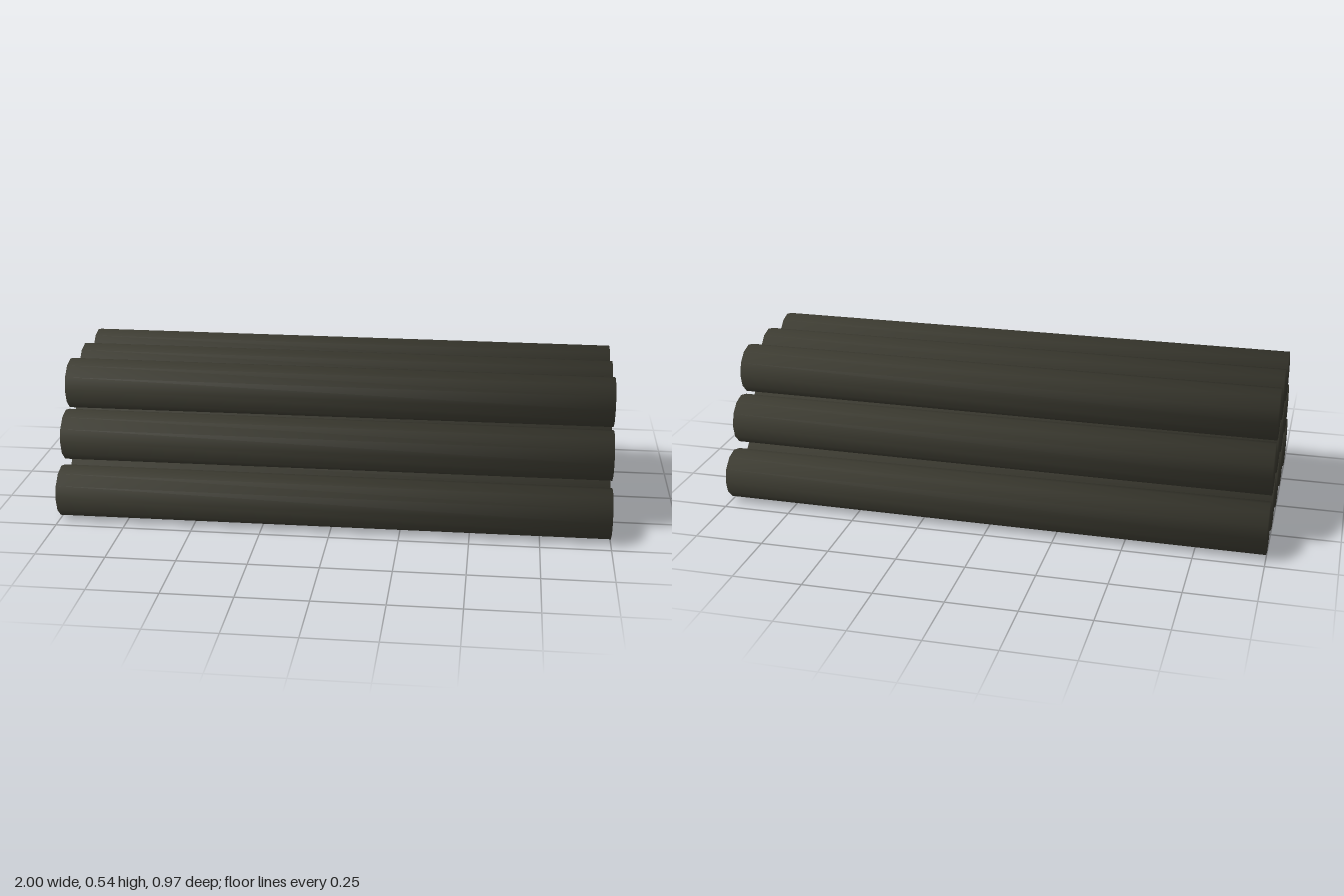
import * as THREE from 'three';

const RIGHT_RADIUS = 0.0915; // narrow end, +x
const LEFT_RADIUS = 0.094; // thick end, -x
const SPACING = 0.195;

// Tapered twelve-sided log along x, shaded smoothly from side to end
function logGeometry() {
  const geo = new THREE.CylinderGeometry(RIGHT_RADIUS, LEFT_RADIUS, 2, 12);
  const pos = geo.attributes.position;
  const normal = geo.attributes.normal;
  const n = new THREE.Vector3();
  for (let i = 0; i < pos.count; i++) {
    const radius = Math.hypot(pos.getX(i), pos.getZ(i));
    const axial = Math.sign(pos.getY(i));
    if (radius < 0.01) n.set(0, axial, 0);
    else n.set(pos.getX(i) / radius, axial * 0.8, pos.getZ(i) / radius).normalize();
    normal.setXYZ(i, n.x, n.y, n.z);
  }
  return geo.rotateZ(-Math.PI / 2);
}

export function createModel() {
  const model = new THREE.Group();
  model.name = 'logPile';

  const darkBark = new THREE.MeshStandardMaterial({ color: 0x3b3a30 });
  darkBark.name = 'darkBark';
  const geo = logGeometry();

  // Three stacked rows, each one log shorter than the row below
  const rows = [
    { name: 'bottomRow', count: 5, y: 0.095 },
    { name: 'middleRow', count: 4, y: 0.279 },
    { name: 'topRow', count: 3, y: 0.447 },
  ];
  for (const { name, count, y } of rows) {
    const row = new THREE.Group();
    row.name = name;
    for (let i = 0; i < count; i++) {
      const log = new THREE.Mesh(geo, darkBark);
      log.name = 'log';
      log.position.set(0, y, (i - (count - 1) / 2) * SPACING);
      row.add(log);
    }
    model.add(row);
  }
  return model;
}
